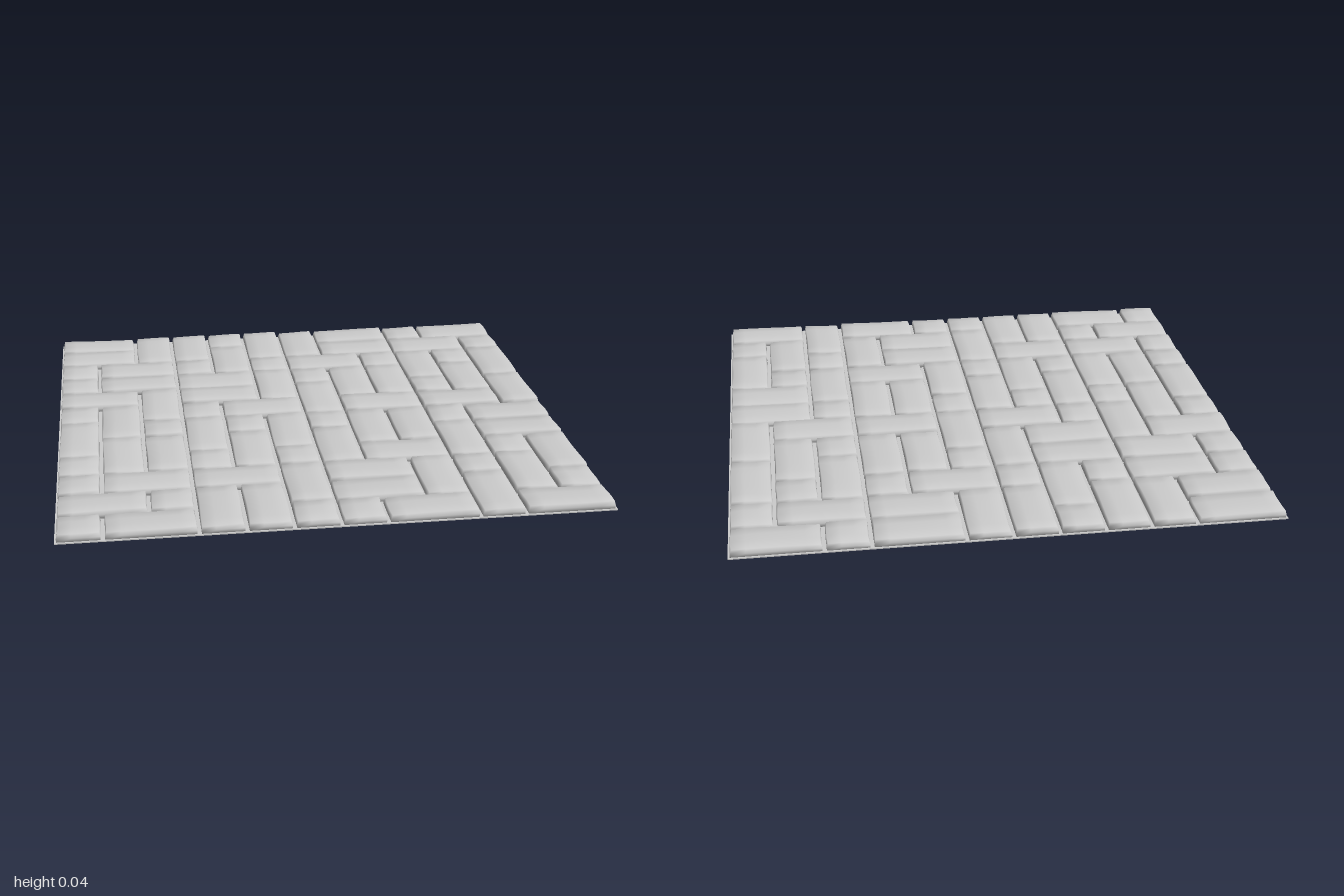
import * as THREE from 'three';
import { mergeVertices } from 'three/addons/utils/BufferGeometryUtils.js';

// Paving plan, back row first: h = stone two cells wide, v = stone two cells deep,
// s = single cell, . = cell covered by a neighbouring stone
const PLAN = [
  'h.vvsvvh.sh.',
  'h...v..h.h.s',
  'sh.s.sh.svsv',
  'sh.h.vsvv.v.',
  'h.vh..v..s.v',
  'sv.sh..h.h..',
  'v.svsvsvvsh.',
  '.vv.v.v..vh.',
  's..s.s.h..sv',
  'sh.h.vh.vsv.',
  'h.svv.h..v.s',
  'sh...ssh..h.',
];
const CELL = 2 / PLAN.length;
const GAP = 0.015;

let seed = 7;
const random = () => (seed = (seed * 16807) % 2147483647) / 2147483647;
const jitter = (amount) => (random() * 2 - 1) * amount;

// Slightly worn stone: tilted, gently domed top, drawn-in upper rim and wavy outline
function stoneGeometry(w, d) {
  const sx = Math.round(w / 0.05), sz = Math.round(d / 0.05);
  let geo = new THREE.BoxGeometry(w, 1, d, sx, 2, sz);
  geo.deleteAttribute('uv');
  geo.deleteAttribute('normal');
  geo = mergeVertices(geo, 1e-4);
  const tiltX = jitter(0.0025), tiltZ = jitter(0.0025);
  const height = 0.03 + jitter(0.0015);
  const phase = random() * 6;
  const p = geo.attributes.position;
  for (let i = 0; i < p.count; i++) {
    const u = p.getX(i) / (w / 2), v = p.getZ(i) / (d / 2), t = p.getY(i) + 0.5;
    const dome = 0.004 * (1 - u * u * u * u) * (1 - v * v * v * v);
    const y = t * (height + u * tiltX + v * tiltZ + dome);
    const rim = t > 0.9 ? 0.004 : 0;
    const waveX = 0.002 * t * Math.sin(phase + v * 2.5);
    const waveZ = 0.002 * t * Math.sin(phase + u * 2.5);
    p.setXYZ(i, u * (w / 2 - rim) + waveX, y, v * (d / 2 - rim) + waveZ);
  }
  geo.computeVertexNormals();
  return geo;
}

export function createModel() {
  const group = new THREE.Group();
  group.name = 'pavingTile';
  const material = new THREE.MeshStandardMaterial({ color: 0xcccccc });

  // Thin bed under the stones
  const bed = new THREE.Mesh(new THREE.BoxGeometry(2, 0.004, 2), material);
  bed.name = 'beddingSlab';
  bed.position.y = 0.002;
  group.add(bed);

  // Stones laid by the plan
  PLAN.forEach((row, r) => [...row].forEach((type, c) => {
    if (type === '.') return;
    const w = CELL * (type === 'h' ? 2 : 1), d = CELL * (type === 'v' ? 2 : 1);
    const stone = new THREE.Mesh(stoneGeometry(w - GAP, d - GAP), material);
    stone.name = type === 's' ? 'squareStone' : 'longStone';
    stone.position.set(-1 + c * CELL + w / 2, 0.001, -1 + r * CELL + d / 2);
    group.add(stone);
  }));
  return group;
}
